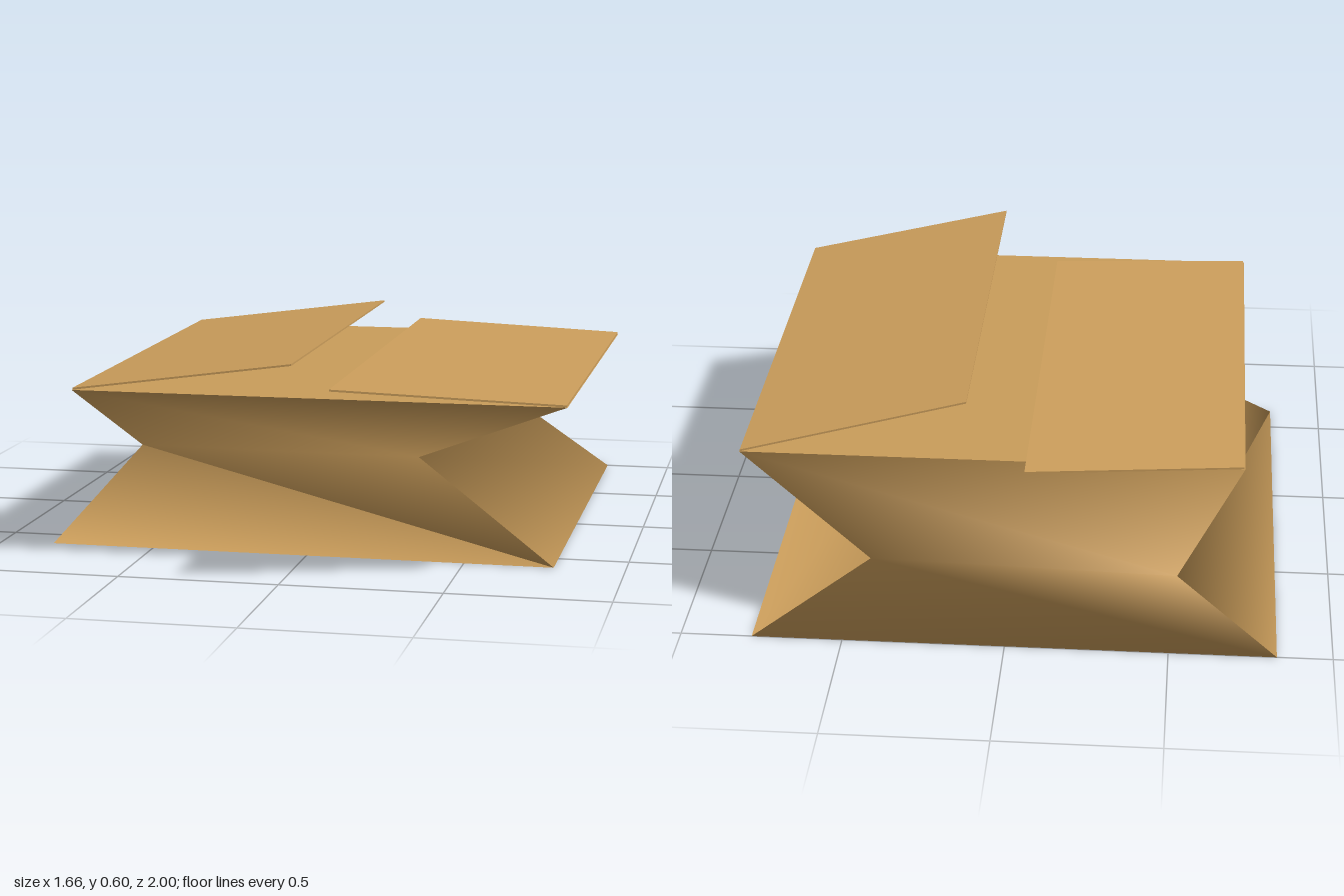
import * as THREE from 'three';

// Corner loops from bottom to top: front right, back right, back left, front left
const LOOPS = [
  { y: 0, xz: [[0.78, 0.62], [0.78, -1], [-0.83, -1], [-0.83, 0.62]] },
  { y: 0.265, xz: [[0.30, 0.30], [0.41, -0.95], [-0.52, -0.985], [-0.63, 0.28]] },
  { y: 0.525, xz: [[0.83, 0.755], [0.83, -0.78], [-0.715, -0.78], [-0.715, 0.755]] },
];

function indexed(points, index) {
  const g = new THREE.BufferGeometry();
  g.setAttribute('position', new THREE.Float32BufferAttribute(points.flat(), 3));
  g.setIndex(index);
  g.computeVertexNormals();
  return g;
}

// Crushed walls with the floor sharing their smooth normals
function crushedBody() {
  const points = LOOPS.flatMap(({ y, xz }) => xz.map(([x, z]) => [x, y, z]));
  const index = [0, 2, 1, 0, 3, 2];
  for (let row = 0; row < 2; row++) {
    for (let i = 0; i < 4; i++) {
      const a = row * 4 + i, b = row * 4 + (i + 1) % 4;
      index.push(a, b, a + 4, b, b + 4, a + 4);
    }
  }
  return indexed(points, index);
}

// Flat lid panel across the top loop
function topPanel() {
  const { y, xz } = LOOPS[2];
  return indexed(xz.map(([x, z]) => [x, y, z]), [0, 1, 2, 0, 2, 3]);
}

// Thin flap that rises and skews along z from its hinge to its free edge
function flap(hingeX, freeX, skew) {
  const g = new THREE.BoxGeometry(1, 0.006, 1.535);
  const p = g.attributes.position;
  const flip = Math.sign(freeX - hingeX);
  for (let i = 0; i < p.count; i++) {
    const t = 0.5 + flip * p.getX(i);
    p.setXYZ(i,
      THREE.MathUtils.lerp(hingeX, freeX, t),
      p.getY(i) + 0.529 + 0.065 * t,
      p.getZ(i) - 0.0125 + skew * t);
  }
  g.computeVertexNormals();
  return g;
}

export function createModel() {
  const group = new THREE.Group();
  const cardboard = new THREE.MeshStandardMaterial({ color: 0xc99c5a, side: THREE.DoubleSide });
  const add = (name, geometry) => {
    const mesh = new THREE.Mesh(geometry, cardboard);
    mesh.name = name;
    group.add(mesh);
  };

  add('crushedBody', crushedBody());
  add('topPanel', topPanel());
  add('leftFlap', flap(0.828, 0.155, 0.242));
  add('rightFlap', flap(-0.712, -0.06, -0.195));
  return group;
}
